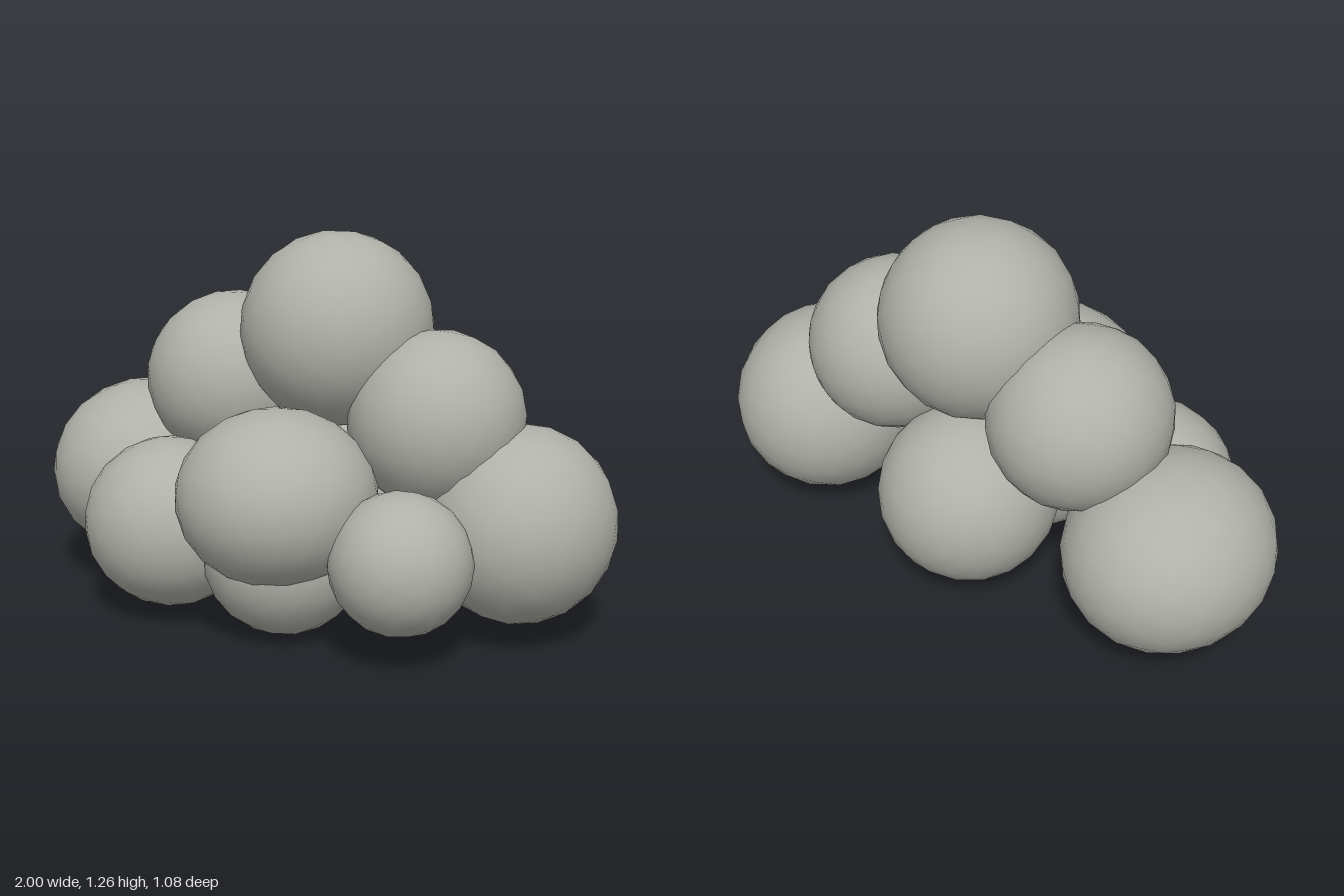
import * as THREE from 'three';

// Each puff: name, centre, radii, turn (varies the facets)
const PUFFS = [
  ['topPuff', [0.055, 0.945, -0.14], [0.315, 0.318, 0.315], 0.3],
  ['upperRightPuff', [-0.335, 0.745, -0.135], [0.29, 0.288, 0.297], 0.9],
  ['upperLeftPuff', [0.42, 0.69, -0.13], [0.285, 0.288, 0.287], 1.7],
  ['farRightPuff', [-0.675, 0.39, -0.12], [0.328, 0.305, 0.352], 2.2],
  ['farLeftPuff', [0.69, 0.375, -0.182], [0.308, 0.318, 0.327], 0.6],
  ['frontRightPuff', [-0.39, 0.312, 0.175], [0.288, 0.28, 0.28], 1.2],
  ['frontPuff', [0.04, 0.47, 0.222], [0.322, 0.282, 0.32], 2.8],
  ['frontLeftPuff', [0.475, 0.325, 0.222], [0.224, 0.224, 0.224], 0.1],
  ['bottomPuff', [0.025, 0.265, 0.145], [0.265, 0.265, 0.27], 1.5],
  ['backPuff', [0.02, 0.34, -0.245], [0.295, 0.298, 0.297], 2.5],
];

export function createModel() {
  const cloud = new THREE.Group();
  cloud.name = 'cloud';
  const grey = new THREE.MeshStandardMaterial({ color: 0xb0b1a9 });
  grey.name = 'cloud grey';

  // Overlapping smooth low-poly balls
  for (const [name, centre, radii, turn] of PUFFS) {
    const ball = new THREE.IcosahedronGeometry(1, 3);
    ball.rotateX(turn * 0.7);
    ball.rotateY(turn);
    ball.scale(...radii);
    const puff = new THREE.Mesh(ball, grey);
    puff.name = name;
    puff.position.set(...centre);
    cloud.add(puff);
  }
  return cloud;
}
